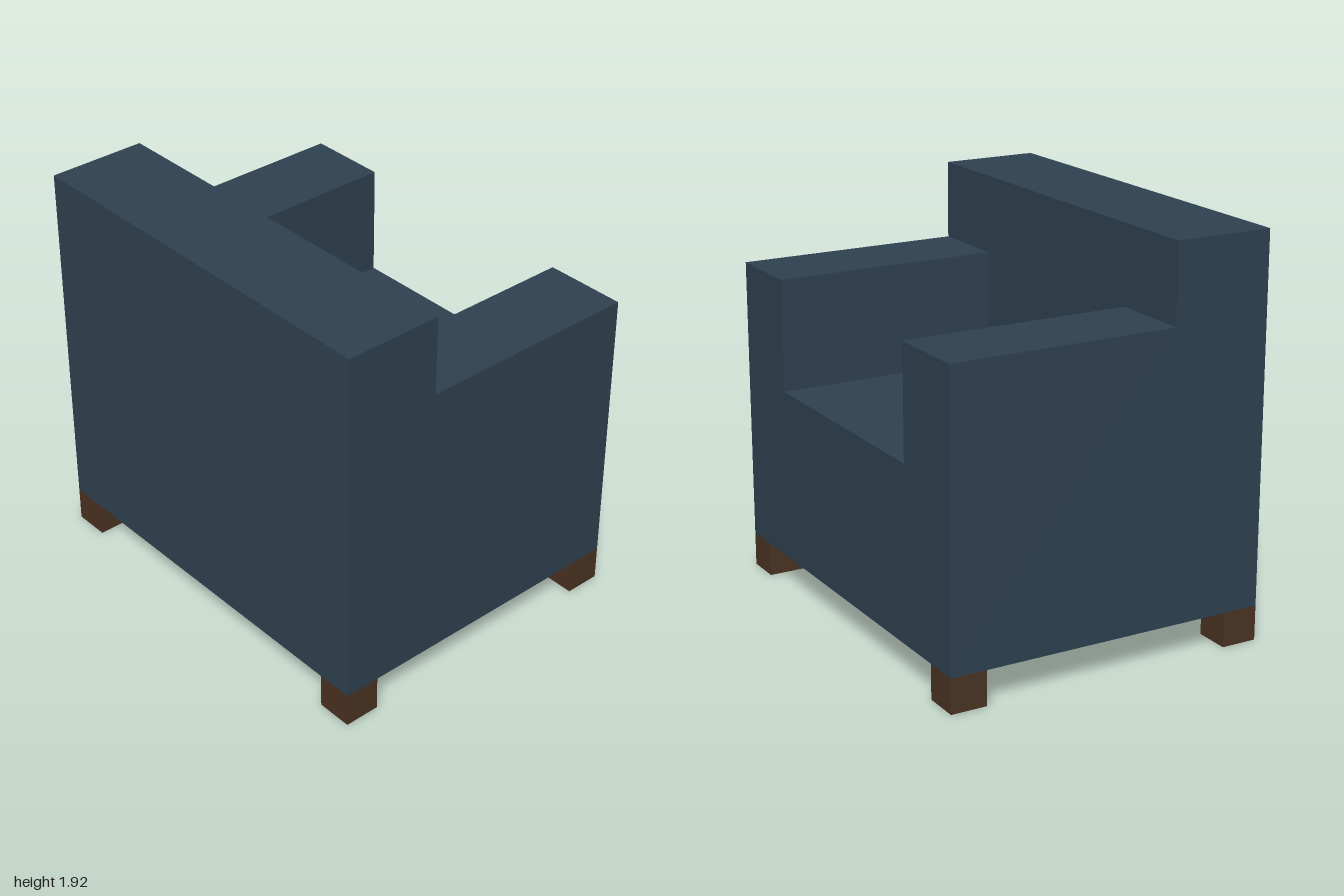
import * as THREE from 'three';

const fabric = new THREE.MeshStandardMaterial({ color: 0x2e4150 });
fabric.name = 'slate blue fabric';
const wood = new THREE.MeshStandardMaterial({ color: 0x4a3322 });
wood.name = 'dark wood';

// Box given by its minimum and maximum corners
function box(name, material, [x0, y0, z0], [x1, y1, z1]) {
  const mesh = new THREE.Mesh(new THREE.BoxGeometry(x1 - x0, y1 - y0, z1 - z0), material);
  mesh.position.set((x0 + x1) / 2, (y0 + y1) / 2, (z0 + z1) / 2);
  mesh.name = name;
  return mesh;
}

export function createModel() {
  const model = new THREE.Group();
  model.name = 'armchair';

  const halfWidth = 1, halfDepth = 0.79;
  const legHeight = 0.167, seatTop = 1.0, armTop = 1.54, backTop = 1.917;
  const armInner = 0.6, backInner = 0.312;

  // Seat and both arms as one U-shaped section running along z
  const section = new THREE.Shape([
    [-halfWidth, legHeight], [halfWidth, legHeight], [halfWidth, armTop], [armInner, armTop],
    [armInner, seatTop], [-armInner, seatTop], [-armInner, armTop], [-halfWidth, armTop],
  ].map(([x, y]) => new THREE.Vector2(x, y)));
  const seat = new THREE.Mesh(
    new THREE.ExtrudeGeometry(section, { depth: halfDepth + backInner, bevelEnabled: false }), fabric);
  seat.position.z = -halfDepth;
  seat.name = 'seatAndArms';
  model.add(seat);

  // Tall backrest slab
  model.add(box('backrest', fabric,
    [-halfWidth, legHeight, backInner], [halfWidth, backTop, halfDepth]));

  // Four square legs flush with the corners
  const legSize = 0.175;
  for (const sx of [-1, 1]) {
    for (const sz of [-1, 1]) {
      const leg = box('leg', wood, [0, 0, 0], [legSize, legHeight, legSize]);
      leg.position.x = sx * (halfWidth - legSize / 2);
      leg.position.z = sz * (halfDepth - legSize / 2);
      model.add(leg);
    }
  }
  return model;
}
